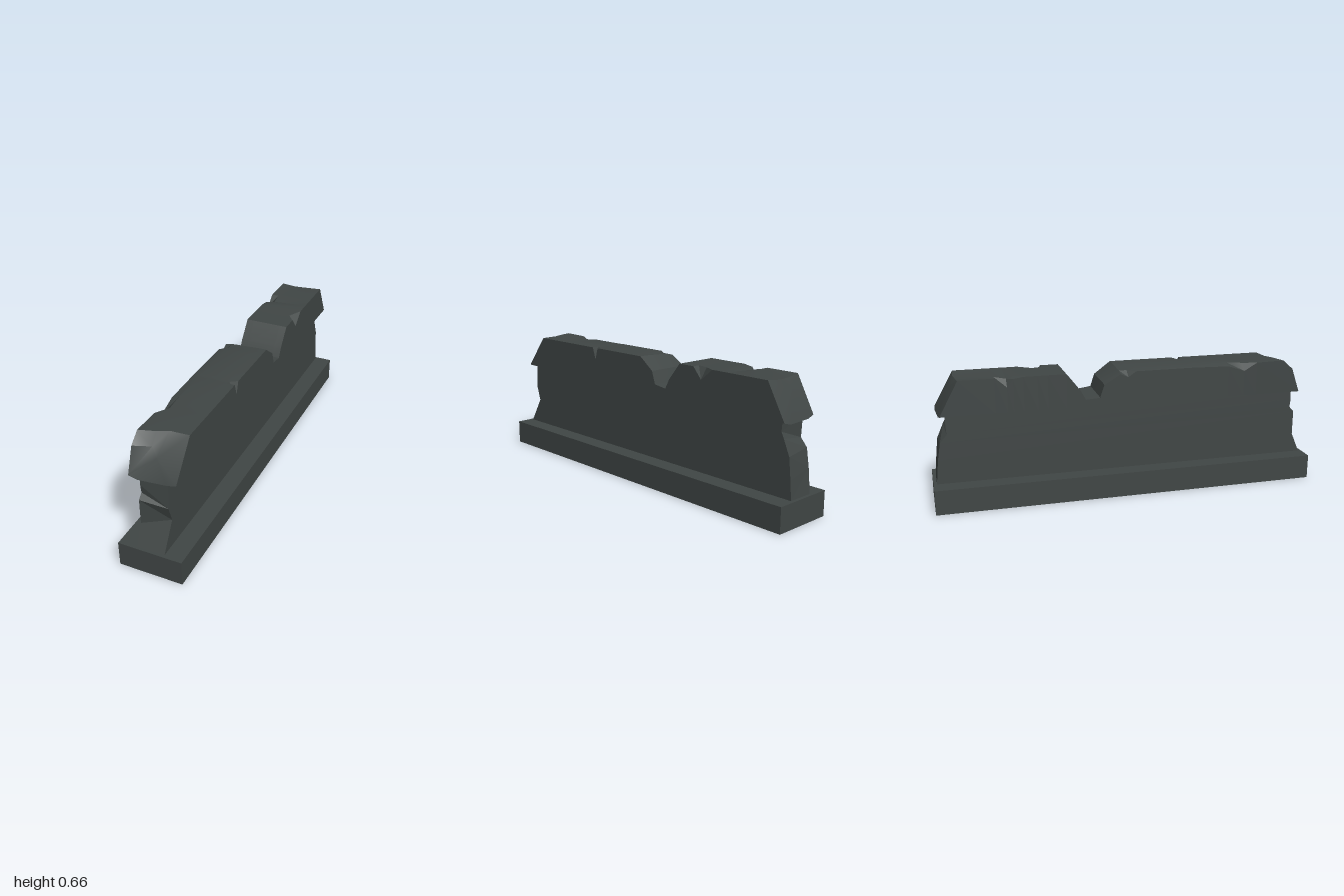
import * as THREE from 'three';
import { toCreasedNormals } from 'three/addons/utils/BufferGeometryUtils.js';

// Geometry from triangles given as corner points
function fromTriangles(tris, crease) {
  const g = new THREE.BufferGeometry();
  g.setAttribute('position', new THREE.Float32BufferAttribute(tris.flat(2), 3));
  if (crease) return toCreasedNormals(g, crease);
  g.computeVertexNormals();
  return g;
}

// Skin closed rings of points, leaving out collapsed triangles
function skin(rings) {
  const tris = [];
  const same = (p, q) => p.every((v, i) => Math.abs(v - q[i]) < 1e-6);
  const add = (a, b, c) => {
    if (!same(a, b) && !same(b, c) && !same(a, c)) tris.push([a, b, c]);
  };
  for (let i = 0; i < rings.length - 1; i++) {
    const n = rings[i].length;
    for (let j = 0; j < n; j++) {
      const k = (j + 1) % n;
      add(rings[i][j], rings[i][k], rings[i + 1][k]);
      add(rings[i][j], rings[i + 1][k], rings[i + 1][j]);
    }
  }
  return tris;
}

// Fan of triangles from a hub along a chain of points
const fan = (hub, chain) => chain.slice(1).map((p, i) => [hub, chain[i], p]);

export function createModel() {
  const model = new THREE.Group();
  const stone = new THREE.MeshStandardMaterial({ color: 0x404645, side: THREE.DoubleSide });
  stone.name = 'dark stone';
  const add = (name, geometry) => {
    const mesh = new THREE.Mesh(geometry, stone);
    mesh.name = name;
    model.add(mesh);
  };

  // Plinth: hollow underneath, with a slot in the top below the wall
  const BX = 0.161, BY = 0.127;
  const plinthRing = (y) => [[-BX, y, 1], [BX, y, 1], [BX, y, -1], [-BX, y, -1]];
  add('plinthSides', fromTriangles(skin([plinthRing(0), plinthRing(BY)])));
  const rect = (path, x, y) => path.moveTo(-x, -y).lineTo(x, -y).lineTo(x, y).lineTo(-x, y).closePath();
  const top = rect(new THREE.Shape(), BX, 1);
  top.holes.push(rect(new THREE.Path(), 0.069, 0.983));
  const topGeometry = new THREE.ShapeGeometry(top);
  topGeometry.rotateX(-Math.PI / 2).translate(0, BY, 0);
  add('plinthTop', topGeometry);

  // Wall: straight sides with broken ends; [y, z] of the four corners in each row
  const W = 0.069;
  const wallRows = [
    [[0.125, 0.985], [0.125, 0.985], [0.125, -0.983], [0.125, -0.983]],
    [[0.23, 0.94], [0.265, 0.90], [0.22, -0.975], [0.25, -0.97]],
    [[0.36, 0.94], [0.265, 0.90], [0.325, -0.963], [0.25, -0.97]],
    [[0.36, 0.94], [0.345, 0.925], [0.325, -0.963], [0.34, -0.955]],
    [[0.385, 0.915], [0.345, 0.925], [0.40, -0.93], [0.34, -0.955]],
    [[0.43, 0.92], [0.345, 0.925], [0.43, -0.915], [0.38, -0.92]],
    [[0.483, 0.915], [0.483, 0.915], [0.483, -0.92], [0.483, -0.925]],
  ];
  add('wall', fromTriangles(skin(wallRows.map((row) =>
    row.map(([y, z], i) => [i === 1 || i === 2 ? W : -W, y, z])))));

  // Coping: sections from front to back, with chips along the top edges
  const C = 0.113, H = 0.658, LOW = 0.483, IN = 0.472;
  const section = (z, l, m1, m2, r) => [
    [-W, IN, z], [-C, LOW, z], [-C, l, z], [-0.075, m1, z],
    [0.075, m2, z], [C, r, z], [C, LOW, z], [W, IN, z]];
  const front = [
    [-W, IN, 0.94], [-C, LOW, 0.94], [-C, H, 0.84], [-0.03, H, 0.815],
    [0.02, H, 0.79], [C, H, 0.785], [C, LOW, 0.925], [W, IN, 0.925]];
  const back = [
    [-W, IN, -0.955], [-C, LOW, -0.95], [-C, H, -0.855], [-0.04, 0.65, -0.86],
    [0.03, 0.65, -0.87], [C, H, -0.865], [C, LOW, -0.963], [W, IN, -0.965]];
  const stations = [
    [0.69, 0.655, H, H, H],
    [0.62, 0.615, 0.65, H, H],
    [0.53, 0.645, H, H, H],
    [0.33, 0.65, H, H, H],
    [0.31, 0.65, H, 0.655, 0.595],
    [0.29, 0.65, H, H, H],
    [0.03, 0.65, H, H, H],
    [-0.01, 0.622, 0.65, H, H],
    [-0.05, 0.64, 0.65, H, H],
    [-0.135, 0.59, 0.595, 0.595, 0.595],
    [-0.157, 0.525, 0.528, 0.53, 0.53],
    [-0.23, 0.52, 0.52, 0.52, 0.52],
    [-0.257, 0.57, 0.57, 0.57, 0.57],
    [-0.328, H, H, H, H],
    [-0.42, H, H, H, H],
    [-0.47, H, H, 0.655, 0.60],
    [-0.54, H, H, H, H],
    [-0.59, 0.65, H, H, H],
    [-0.62, 0.61, 0.645, 0.655, H],
    [-0.68, H, H, H, H],
  ];
  const coping = skin([front, ...stations.map((s) => section(...s)), back]);

  // Broken front end of the coping, with a hollow below the top edge
  const chip = [-C, 0.61, 0.895], a = [-0.035, 0.602, 0.855], b = [0, 0.565, 0.878];
  const [f0, f1, f2, f3, f4, f5, f6, f7] = front;
  coping.push(...fan(a, [f4, f3, f2, chip, f1, b, f4]), ...fan(b, [f1, f0, f7, f6, f5, f4]));
  coping.push([f1, chip, f2]);

  // Broken back end of the coping, with a notch at the middle
  coping.push(...fan([-0.01, 0.6, -0.9], [...back, back[0]]));
  add('coping', fromTriangles(coping, 0.45));

  return model;
}
